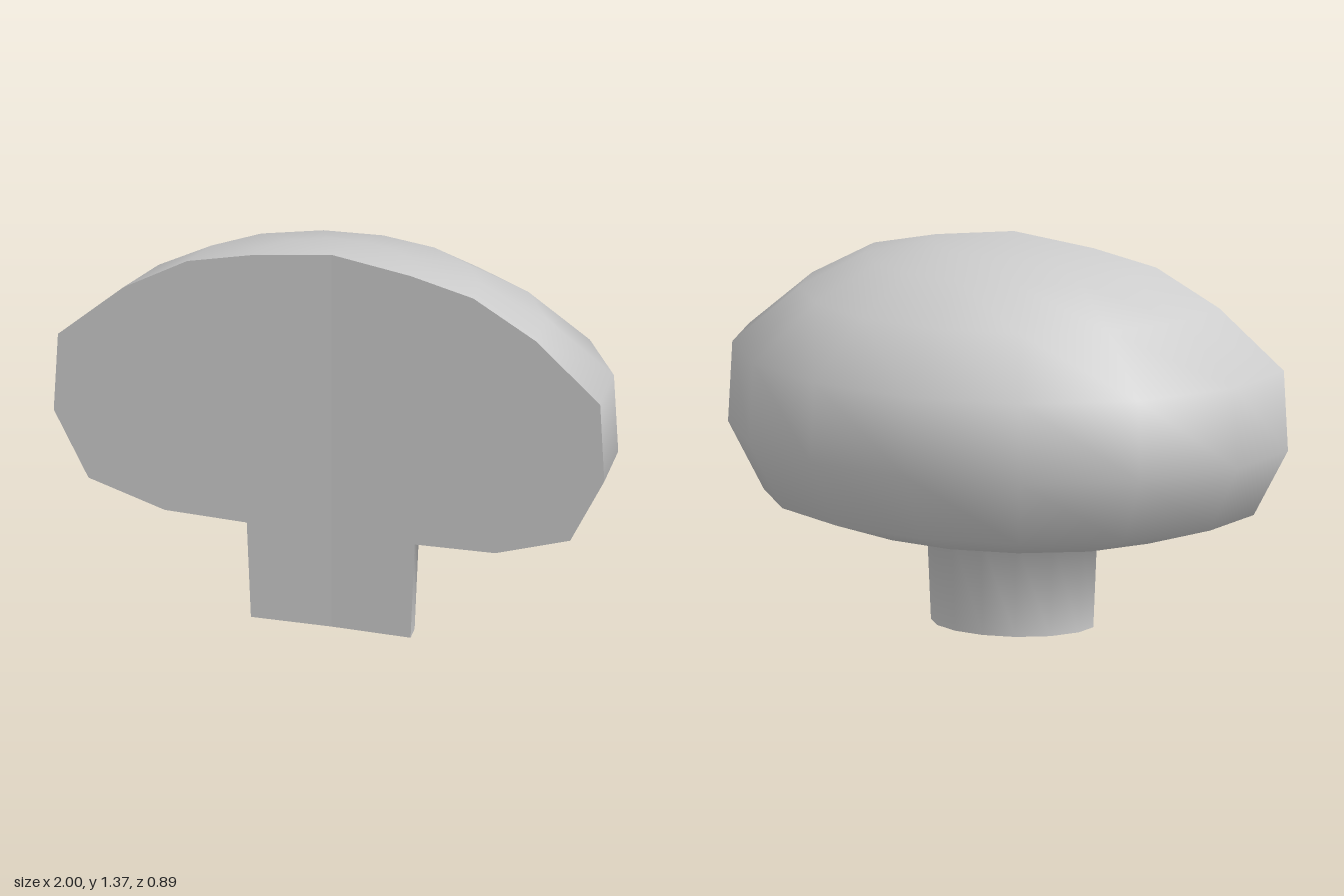
import * as THREE from 'three';

// Half mushroom: radius/height profile from stem foot to crown
const PROFILE = [
  [0.29, 0], [0.305, 0.345], [0.6, 0.355], [0.875, 0.44], [1, 0.675],
  [0.985, 0.955], [0.75, 1.155], [0.52, 1.28], [0.29, 1.33], [0, 1.367],
].map(([r, y]) => new THREE.Vector2(r, y));

// Directions of the facets around the back, from +x to -x
const ANGLES = [0, 19.4, 41.9, 64.5, 87.7, 111, 136, 161.5, 183.4].map(THREE.MathUtils.degToRad);
const CUT_Z = 0.393;
const DEPTH = 0.843;

// Partial lathe with its columns moved to ANGLES and flattened in depth
function halfLathe(points) {
  const geo = new THREE.LatheGeometry(points, ANGLES.length - 1, 0, Math.PI);
  const pos = geo.attributes.position;
  ANGLES.forEach((a, i) => points.forEach((p, j) => {
    pos.setXYZ(i * points.length + j, p.x * Math.cos(a), p.y, CUT_Z - DEPTH * p.x * Math.sin(a));
  }));
  geo.computeVertexNormals();
  return geo;
}

// One half of the flat cut; side is +1 or -1 in x
function cutFace(side, angle) {
  const outline = [new THREE.Vector2(0, 0), ...PROFILE.map(p => new THREE.Vector2(p.x * Math.cos(angle), p.y))];
  const geo = new THREE.ShapeGeometry(new THREE.Shape(outline));
  const pos = geo.attributes.position;
  for (let i = 0; i < pos.count; i++) {
    pos.setZ(i, CUT_Z - DEPTH * Math.tan(angle) * pos.getX(i));
  }
  geo.computeVertexNormals();
  return geo;
}

export function createModel() {
  const group = new THREE.Group();
  group.name = 'halfMushroom';
  const material = new THREE.MeshStandardMaterial({ color: 0xcccccc });
  const add = (name, geo) => {
    const mesh = new THREE.Mesh(geo, material);
    mesh.name = name;
    group.add(mesh);
  };

  // Smooth cap and stem skin, with the crown normals pointing straight up
  const skin = halfLathe(PROFILE);
  for (let i = 0; i < ANGLES.length; i++) {
    skin.attributes.normal.setXYZ((i + 1) * PROFILE.length - 1, 0, 1, 0);
  }
  add('capAndStem', skin);

  // Flat foot of the stem
  const foot = halfLathe([new THREE.Vector2(0, 0), PROFILE[0]]);
  for (let i = 0; i < foot.attributes.normal.count; i++) foot.attributes.normal.setXYZ(i, 0, -1, 0);
  add('stemFoot', foot);

  // Flat front, slightly bent at the middle
  add('cutFaceLeft', cutFace(1, ANGLES[0]));
  add('cutFaceRight', cutFace(-1, ANGLES[ANGLES.length - 1]));
  return group;
}
